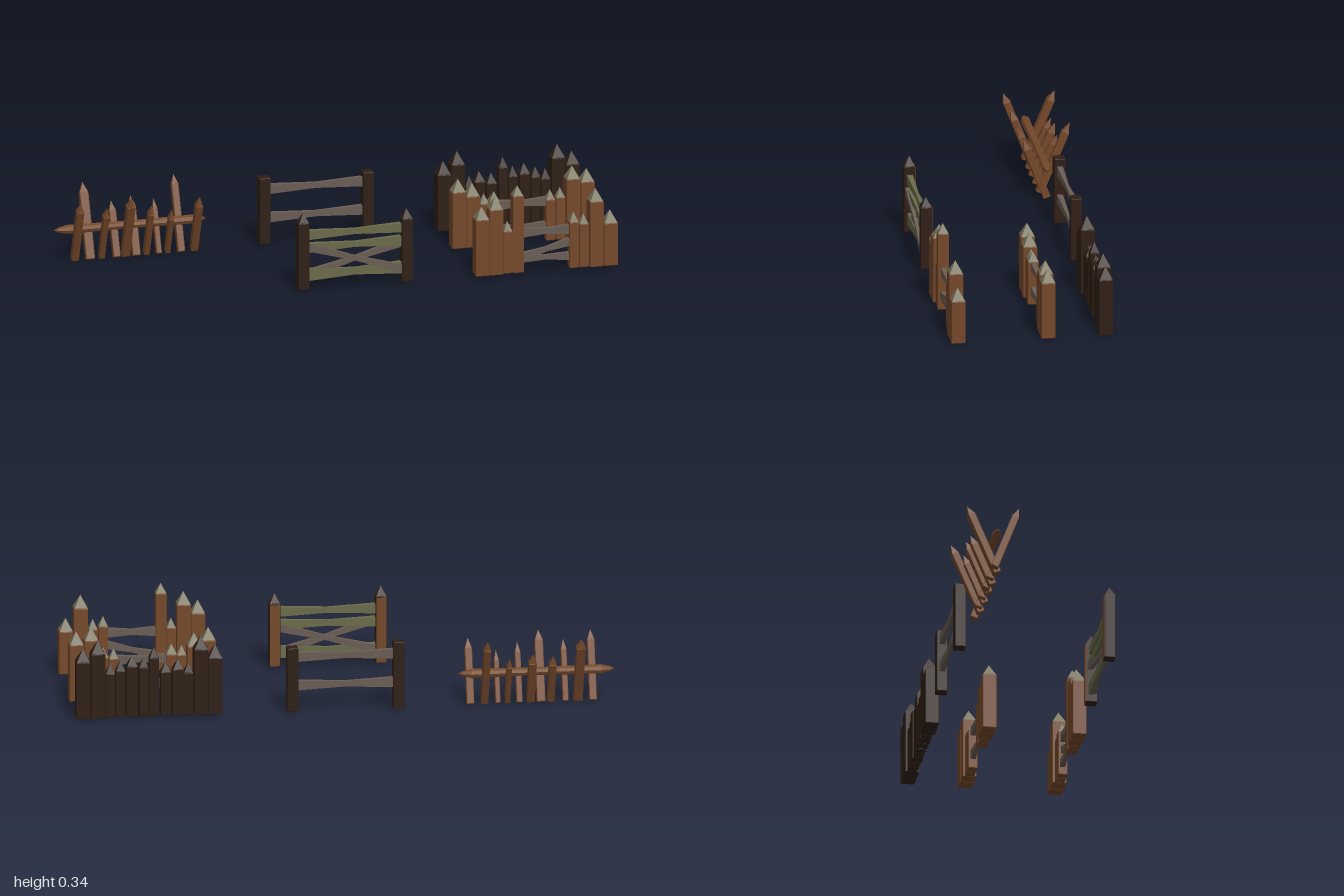
import * as THREE from 'three';
import { RoundedBoxGeometry } from 'three/addons/geometries/RoundedBoxGeometry.js';

const mat = (color) => new THREE.MeshStandardMaterial({ color, flatShading: true });
const BROWN = mat(0x74482a), DARK = mat(0x2f1f15), MOSS = mat(0x77735a);
const GREEN = mat(0x6a6a4a), GREY = mat(0x6a5d54);

function add(parent, geometry, material, name) {
  const mesh = new THREE.Mesh(geometry, material);
  mesh.name = name;
  parent.add(mesh);
  return mesh;
}

// Square post standing on its origin, with an optional pyramid tip
function post(parent, name, w, d, height, tip, bodyMat, tipMat) {
  const group = new THREE.Group();
  group.name = name;
  const h = height - tip;
  add(group, new RoundedBoxGeometry(w, h, d, 1, 0.003), bodyMat, 'shaft').position.y = h / 2;
  if (tip > 0) {
    const cone = new THREE.ConeGeometry(Math.SQRT1_2, tip + 0.003, 4, 1, true);
    cone.rotateY(Math.PI / 4);
    cone.scale(w - 0.002, 1, d - 0.002);
    add(group, cone, tipMat, 'tip').position.y = h + tip / 2 - 0.0015;
  }
  parent.add(group);
  return group;
}

// Hewn rail between two points, thick at the ends and thin in the middle
function rail(parent, x0, y0, x1, y1, z, material, thick = 0.036) {
  const length = Math.hypot(x1 - x0, y1 - y0);
  const geo = new THREE.BoxGeometry(length, thick, 0.022, 4, 1, 1);
  const p = geo.attributes.position;
  for (let i = 0; i < p.count; i++) {
    const t = Math.abs(p.getX(i)) / (length / 2);
    p.setY(i, p.getY(i) * (0.6 + 0.4 * t));
    p.setZ(i, p.getZ(i) * (0.5 + 0.5 * t));
  }
  geo.computeVertexNormals();
  const mesh = add(parent, geo, material, 'rail');
  mesh.position.set((x0 + x1) / 2, (y0 + y1) / 2, z);
  mesh.rotation.z = Math.atan2(y1 - y0, x1 - x0);
}

// Beam with stakes leaning alternately forwards and backwards
function spikeBarrier() {
  const g = new THREE.Group();
  g.name = 'spikeBarrier';
  const profile = [[0, -0.29], [0.009, -0.275], [0.018, -0.24], [0.015, 0], [0.018, 0.24], [0.009, 0.275], [0, 0.29]];
  const beam = add(g, new THREE.LatheGeometry(profile.map(([r, y]) => new THREE.Vector2(r, y)), 8), BROWN, 'beam');
  beam.rotation.z = -Math.PI / 2;
  beam.position.set(-0.71, 0.124, -0.243);
  // x, height, width
  const stakes = [
    [-0.92, 0.25, 0.028], [-0.866, 0.27, 0.034], [-0.818, 0.22, 0.022], [-0.765, 0.2, 0.027],
    [-0.727, 0.255, 0.032], [-0.69, 0.21, 0.03], [-0.647, 0.215, 0.022], [-0.604, 0.195, 0.02],
    [-0.567, 0.19, 0.019], [-0.519, 0.272, 0.027], [-0.465, 0.235, 0.028],
  ];
  stakes.forEach(([x, h, w], i) => {
    const lean = i % 2 ? -0.4 : 0.36;
    const s = post(g, 'stake', w, 0.028, (h - 0.005) / Math.cos(lean), 0.036, BROWN, BROWN);
    s.position.set(x, 0.006, i % 2 ? -0.226 : -0.246);
    s.rotation.x = lean;
  });
  return g;
}

// Two posts joined by rails
function railFence(name, z, heights, tip) {
  const g = new THREE.Group();
  g.name = name;
  g.position.z = z;
  [-0.197, 0.197].forEach((x, i) => {
    post(g, 'gatePost', 0.042, 0.042, heights[i], tip, DARK, DARK).position.set(x, 0.008, 0);
  });
  return g;
}

// Row of pointed stakes: [centre x, width] per column
const COLUMNS = [
  [0.482, 0.053], [0.535, 0.053], [0.581, 0.036], [0.619, 0.042],
  [0.665, 0.04], [0.709, 0.036], [0.747, 0.036], [0.79, 0.042],
  [0.833, 0.036], [0.871, 0.036], [0.917, 0.053], [0.972, 0.053],
];
function palisade(name, z, heights, bodyMat, tipMat) {
  const g = new THREE.Group();
  g.name = name;
  g.position.z = z;
  heights.forEach((h, i) => {
    if (!h) return;
    const [x, w] = COLUMNS[i];
    const d = w > 0.05 ? 0.053 : w;
    post(g, 'palisadeStake', w, d, h - 0.006, w > 0.05 ? 0.046 : 0.036, bodyMat, tipMat).position.set(x, 0.006, 0);
  });
  return g;
}

export function createModel() {
  const model = new THREE.Group();
  model.name = 'fenceSet';
  model.add(spikeBarrier());

  // Plain two-rail fence at the back
  const plain = railFence('plainFence', -0.25, [0.255, 0.245], 0);
  rail(plain, -0.18, 0.215, 0.18, 0.215, 0, GREY);
  rail(plain, -0.18, 0.105, 0.18, 0.105, 0, GREY);
  model.add(plain);

  // Cross-braced fence at the front, with lighter wood on the back of its posts
  const braced = railFence('bracedFence', 0.31, [0.293, 0.278], 0.035);
  [[-0.197, 0.25], [0.197, 0.235]].forEach(([x, h]) => {
    add(braced, new THREE.BoxGeometry(0.037, h, 0.004), BROWN, 'postBack').position.set(x, 0.01 + h / 2, -0.021);
  });
  rail(braced, -0.18, 0.215, 0.18, 0.215, 0, GREEN);
  rail(braced, -0.18, 0.165, 0.18, 0.165, 0, GREEN);
  rail(braced, -0.18, 0.06, 0.18, 0.06, -0.002, GREEN, 0.045);
  rail(braced, -0.18, 0.17, 0.18, 0.055, 0.006, GREY, 0.03);
  rail(braced, -0.18, 0.06, 0.18, 0.155, -0.006, GREY, 0.03);
  model.add(braced);

  // Palisades: two with a railed gap, one closed
  const front = palisade('frontPalisade', 0.313,
    [0.27, 0.305, 0.205, 0.34, 0, 0, 0, 0, 0.22, 0.21, 0.305, 0.217], BROWN, MOSS);
  const middle = palisade('middlePalisade', -0.023,
    [0.27, 0.25, 0.205, 0.21, 0, 0, 0, 0, 0.2, 0.205, 0.285, 0.27], BROWN, MOSS);
  const back = palisade('backPalisade', -0.238,
    [0.27, 0.305, 0.205, 0.22, 0.21, 0.267, 0.23, 0.237, 0.22, 0.21, 0.3, 0.27], DARK, DARK);
  rail(front, 0.625, 0.155, 0.83, 0.155, 0, GREY);
  rail(front, 0.625, 0.06, 0.83, 0.11, 0.003, GREY, 0.03);
  rail(front, 0.625, 0.055, 0.83, 0.05, -0.002, GREY, 0.03);
  rail(middle, 0.625, 0.155, 0.83, 0.155, 0, GREY);
  rail(middle, 0.625, 0.06, 0.83, 0.06, 0, GREY);
  model.add(front, middle, back);
  return model;
}
